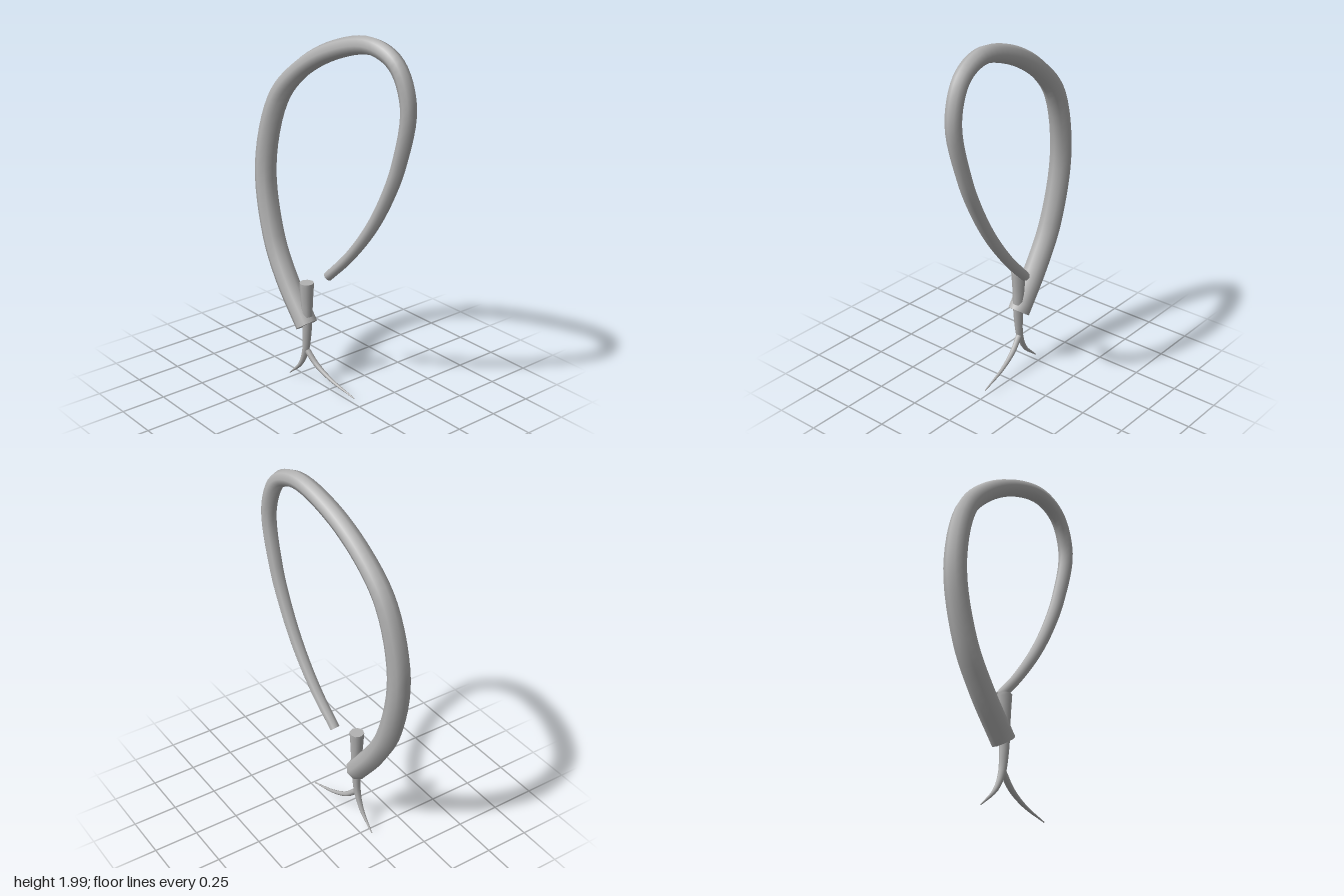
import * as THREE from 'three';

// Tapered, capped tube through stations [x, y, z, radius]
function taperedTube(name, stations, material, sides, steps) {
  const curve = new THREE.CatmullRomCurve3(
    stations.map(([x, y, z]) => new THREE.Vector3(x, y, z)), false, 'centripetal');
  const positions = [], indices = [];
  const last = stations.length - 1;
  const rings = [];
  for (let i = 0; i <= steps; i++) {
    const t = i / steps;
    const k = Math.min(Math.floor(t * last), last - 1);
    const radius = THREE.MathUtils.lerp(stations[k][3], stations[k + 1][3], t * last - k);
    const centre = curve.getPoint(t);
    const tangent = curve.getTangent(t);
    const across = new THREE.Vector3(0, 0, 1).cross(tangent).normalize();
    const depth = tangent.clone().cross(across);
    const ring = [];
    for (let j = 0; j < sides; j++) {
      const a = (j / sides) * Math.PI * 2;
      ring.push(centre.clone()
        .addScaledVector(across, Math.cos(a) * radius)
        .addScaledVector(depth, Math.sin(a) * radius));
    }
    rings.push({ centre, ring });
    ring.forEach((p) => positions.push(p.x, p.y, p.z));
  }
  // Wall
  for (let i = 0; i < steps; i++) {
    for (let j = 0; j < sides; j++) {
      const n = (j + 1) % sides;
      const a = i * sides + j, b = i * sides + n;
      indices.push(a, b, b + sides, a, b + sides, a + sides);
    }
  }
  // Flat end caps with their own vertices
  [rings[0], rings[steps]].forEach(({ centre, ring }, end) => {
    const base = positions.length / 3;
    [centre, ...ring].forEach((p) => positions.push(p.x, p.y, p.z));
    for (let j = 0; j < sides; j++) {
      const a = base + 1 + j, b = base + 1 + ((j + 1) % sides);
      if (end === 0) indices.push(base, b, a);
      else indices.push(base, a, b);
    }
  });
  const geometry = new THREE.BufferGeometry();
  geometry.setAttribute('position', new THREE.Float32BufferAttribute(positions, 3));
  geometry.setIndex(indices);
  geometry.computeVertexNormals();
  const mesh = new THREE.Mesh(geometry, material);
  mesh.name = name;
  return mesh;
}

export function createModel() {
  const model = new THREE.Group();
  model.name = 'loopedTendril';
  const grey = new THREE.MeshStandardMaterial({ color: 0xb2b2b2 });
  grey.name = 'plain grey';

  // Large loop, thick at its lower end and thinning towards the free tip
  model.add(taperedTube('loop', [
    [-0.135, 0.36, 0.05, 0.062],
    [-0.3, 0.58, 0.056, 0.062],
    [-0.415, 0.8, 0.055, 0.061],
    [-0.487, 1.18, 0.047, 0.059],
    [-0.4, 1.56, 0.025, 0.056],
    [-0.23, 1.75, 0.008, 0.052],
    [0.02, 1.896, -0.015, 0.049],
    [0.27, 1.955, -0.042, 0.045],
    [0.425, 1.89, -0.06, 0.043],
    [0.5, 1.7, -0.072, 0.041],
    [0.438, 1.4, -0.078, 0.037],
    [0.355, 1.2, -0.077, 0.035],
    [0.24, 1.0, -0.073, 0.033],
    [0.085, 0.8, -0.063, 0.03],
    [-0.07, 0.642, -0.047, 0.027],
  ], grey, 8, 84));

  // Upright stem that runs down into a curved root
  model.add(taperedTube('stem', [
    [-0.133, 0.61, 0.05, 0.04],
    [-0.133, 0.5, 0.05, 0.033],
    [-0.13, 0.4, 0.05, 0.028],
    [-0.134, 0.3, 0.05, 0.024],
    [-0.147, 0.2, 0.05, 0.019],
    [-0.19, 0.105, 0.05, 0.013],
    [-0.289, 0.008, 0.05, 0.003],
  ], grey, 8, 36));

  // Side root
  model.add(taperedTube('sideRoot', [
    [-0.135, 0.205, 0.047, 0.017],
    [-0.065, 0.138, 0.035, 0.015],
    [0.045, 0.083, 0.02, 0.01],
    [0.208, 0.04, 0.002, 0.003],
  ], grey, 8, 24));

  return model;
}
